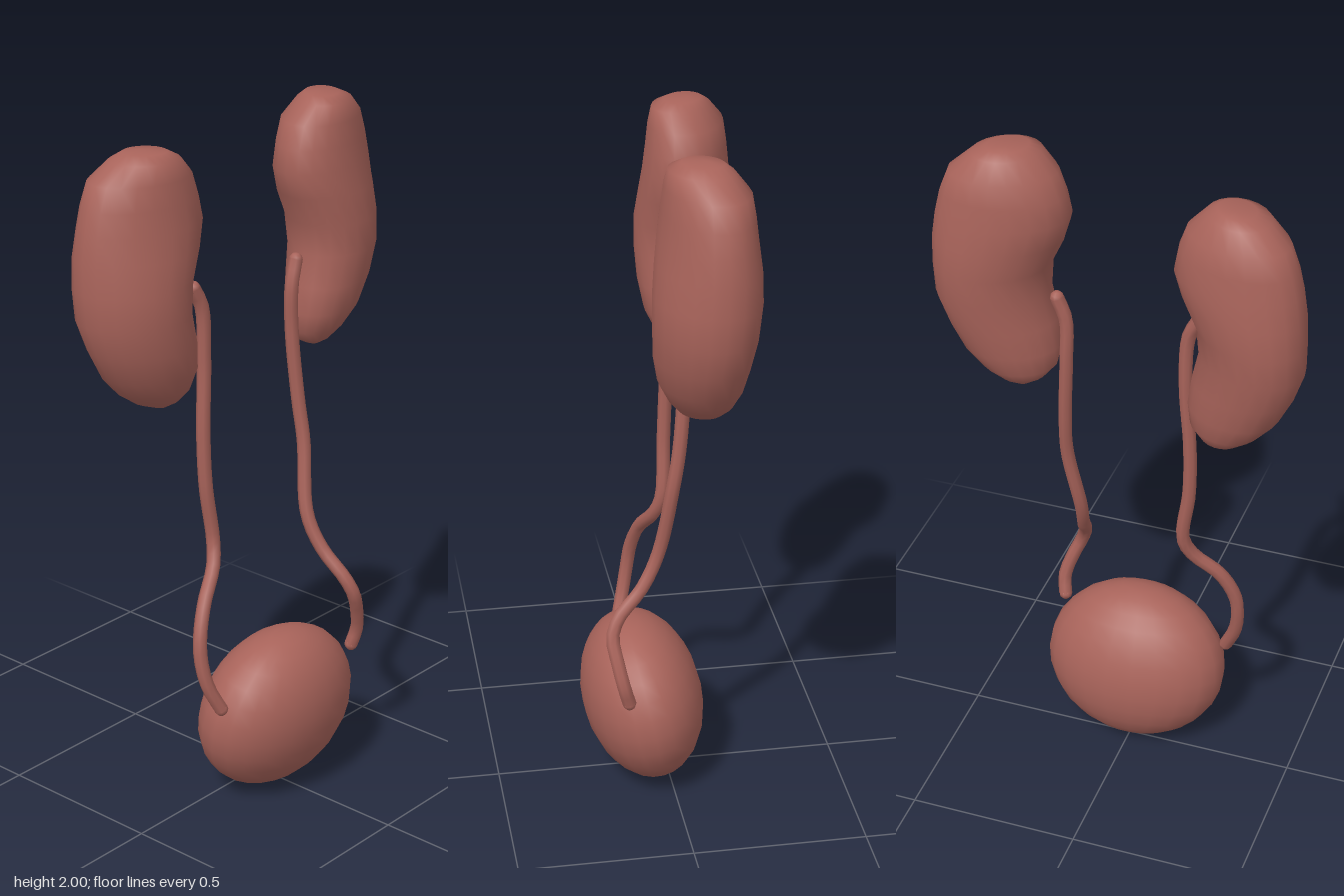
import * as THREE from 'three';

const material = new THREE.MeshStandardMaterial({ color: 0xa8635a });

// Kidney cross-sections, top to bottom: y, medial x, lateral x, front z, back z
const SECTIONS = [
  [2.0, 0.325, 0.325, -0.06, -0.06],
  [1.998, 0.27, 0.38, 0.01, -0.1],
  [1.98, 0.24, 0.42, 0.045, -0.125],
  [1.93, 0.19, 0.48, 0.055, -0.165],
  [1.865, 0.167, 0.505, 0.062, -0.175],
  [1.8, 0.155, 0.52, 0.07, -0.182],
  [1.725, 0.178, 0.53, 0.08, -0.19],
  [1.64, 0.218, 0.532, 0.09, -0.19],
  [1.55, 0.225, 0.53, 0.09, -0.18],
  [1.46, 0.205, 0.5, 0.085, -0.165],
  [1.38, 0.195, 0.46, 0.07, -0.15],
  [1.32, 0.205, 0.405, 0.04, -0.13],
  [1.285, 0.235, 0.355, 0.01, -0.105],
  [1.267, 0.27, 0.31, -0.02, -0.08],
  [1.265, 0.29, 0.29, -0.05, -0.05],
];

function mesh(name, geometry) {
  const m = new THREE.Mesh(geometry, material);
  m.name = name;
  return m;
}

// Loft of tilted oval rings; side is +1 (left) or -1 (mirrored right)
function kidney(name, side) {
  const n = 20, positions = [], index = [];
  SECTIONS.forEach(([y, xm, xl, zf, zb], i) => {
    const a = (xl - xm) / 2, b = (zf - zb) / 2;
    const tilt = 0.2 * Math.min(a, b);
    const depth = Math.sqrt(b * b - tilt * tilt);
    for (let j = 0; j < n; j++) {
      const t = side * (j / n) * Math.PI * 2;
      positions.push(
        side * ((xm + xl) / 2 + a * Math.cos(t)),
        y,
        (zf + zb) / 2 + depth * Math.sin(t) - tilt * Math.cos(t));
      if (i === SECTIONS.length - 1) continue;
      const k = (j + 1) % n, p = i * n, q = p + n;
      if (i > 0) index.push(p + j, p + k, q + j);
      else index.push(p, q + k, q + j);
      if (i > 0 && i < SECTIONS.length - 2) index.push(p + k, q + k, q + j);
    }
  });
  const g = new THREE.BufferGeometry();
  g.setAttribute('position', new THREE.Float32BufferAttribute(positions, 3));
  g.setIndex(index);
  g.computeVertexNormals();
  // The unused pole duplicates keep a zero normal and are never drawn
  return mesh(name, g);
}

// Thin tube with rounded ends
function ureter(name, points) {
  const group = new THREE.Group();
  group.name = name;
  const path = points.map((p) => new THREE.Vector3(...p));
  const curve = new THREE.CatmullRomCurve3(path, false, 'centripetal');
  group.add(mesh('ureterTube', new THREE.TubeGeometry(curve, 40, 0.02, 8)));
  for (const end of [path[0], path[path.length - 1]]) {
    const cap = mesh('ureterEnd', new THREE.SphereGeometry(0.02, 8, 6));
    cap.position.copy(end);
    group.add(cap);
  }
  return group;
}

export function createModel() {
  const model = new THREE.Group();
  model.name = 'urinarySystem';

  // Kidneys: the right one sits lower and further back
  const leftKidney = kidney('leftKidney', 1);
  const rightKidney = kidney('rightKidney', -1);
  rightKidney.position.set(-0.003, -0.04, -0.06);
  model.add(leftKidney, rightKidney);

  // Ureters from kidney hollow to bladder side
  model.add(ureter('leftUreter', [
    [0.2, 1.54, -0.03], [0.177, 1.47, -0.025], [0.178, 1.34, -0.025],
    [0.19, 1.13, -0.01], [0.193, 1.0, 0.01], [0.167, 0.79, 0.047],
    [0.178, 0.69, 0.095], [0.198, 0.61, 0.165], [0.215, 0.56, 0.185],
    [0.245, 0.49, 0.175], [0.265, 0.42, 0.16], [0.258, 0.365, 0.145],
  ]));
  model.add(ureter('rightUreter', [
    [-0.21, 1.56, -0.045], [-0.182, 1.5, -0.04], [-0.175, 1.34, -0.04],
    [-0.188, 1.13, -0.033], [-0.186, 0.97, -0.027], [-0.167, 0.8, -0.018],
    [-0.19, 0.735, 0.002], [-0.265, 0.655, 0.035], [-0.305, 0.57, 0.055],
    [-0.312, 0.5, 0.065], [-0.3, 0.42, 0.08], [-0.268, 0.345, 0.1],
  ]));

  // Bladder: ellipsoid leaning forward
  const bladder = mesh('bladder', new THREE.SphereGeometry(1, 22, 14));
  bladder.scale.set(0.274, 0.247, 0.176);
  bladder.rotation.x = 0.2;
  bladder.position.set(0.002, 0.245, 0.07);
  model.add(bladder);

  return model;
}
